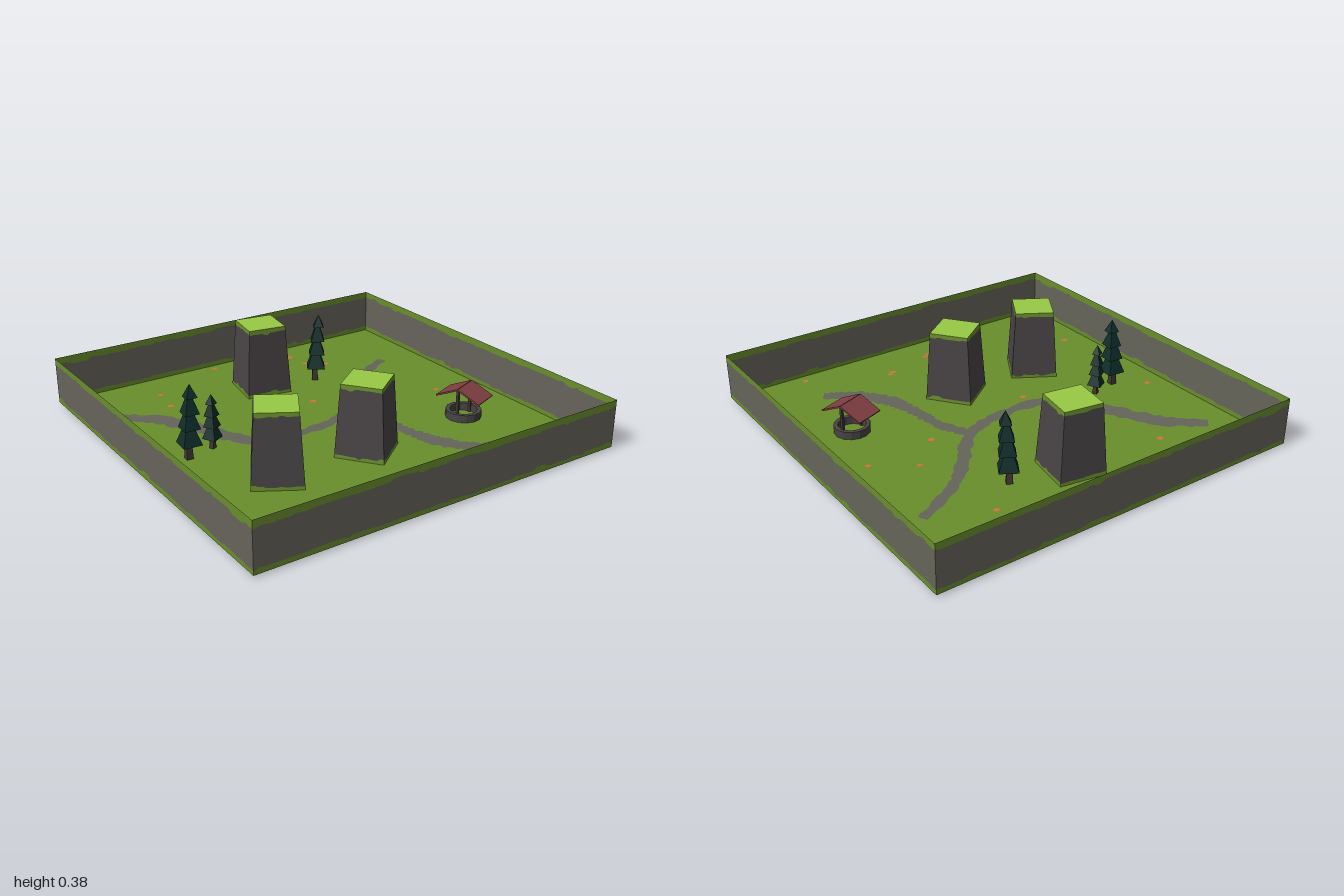
import * as THREE from 'three';

const mat = (name, color, side = THREE.DoubleSide) => {
  const m = new THREE.MeshStandardMaterial({ color, side });
  m.name = name;
  return m;
};

// Small seeded noise for ragged edges
let seed = 7;
const rnd = () => (seed = (seed * 16807) % 2147483647) / 2147483647;
const range = (a, b) => a + (b - a) * rnd();

const FLOOR = 0.01;

export function createModel() {
  const M = {
    grass: mat('grass green', 0x698e2c),
    stone: mat('path and wall grey', 0x66645a),
    rock: mat('dark rock grey', 0x494446),
    lime: mat('lime grass', 0x98ca45),
    leaf: mat('pine green', 0x0f2d28),
    trunk: mat('trunk brown', 0x40382f),
    roof: mat('roof red', 0x803e42),
    flower: mat('flower orange', 0xd3703c),
  };
  const model = new THREE.Group();

  const add = (parent, name, geo, material) => {
    const flat = geo.index ? geo.toNonIndexed() : geo;
    flat.computeVertexNormals();
    const mesh = new THREE.Mesh(flat, material);
    mesh.name = name;
    parent.add(mesh);
    return mesh;
  };
  const group = (name, x = 0, y = 0, z = 0, turn = 0) => {
    const g = new THREE.Group();
    g.name = name;
    g.position.set(x, y, z);
    g.rotation.y = turn;
    model.add(g);
    return g;
  };
  const fromTriangles = (pos) => new THREE.BufferGeometry()
    .setAttribute('position', new THREE.Float32BufferAttribute(pos, 3));

  // Upright sheet between four corners, in three bands with ragged borders
  const bandedSheet = (parent, name, [bl, br, tl, tr], n, low, high, middle) => {
    const raggedRow = ([a, b]) => {
      const row = [];
      let v = range(a, b);
      for (let i = 0; i <= n; i++) {
        if (rnd() < 0.55) v = rnd() < 0.25 ? range(a, b) : a + (b - a) * range(0.25, 0.6);
        row.push(v);
      }
      return row;
    };
    const rows = [Array(n + 1).fill(0), raggedRow(low), raggedRow(high), Array(n + 1).fill(1)];
    const at = (i, v) => {
      const u = i / n;
      const p = bl.clone().lerp(br, u).lerp(tl.clone().lerp(tr, u), v);
      return [p.x, p.y, p.z];
    };
    [['LowerGrass', M.grass], ['Face', middle], ['UpperGrass', M.grass]].forEach(([part, m], k) => {
      const pos = [];
      for (let i = 0; i < n; i++) {
        const a = at(i, rows[k][i]), b = at(i + 1, rows[k][i + 1]);
        const c = at(i + 1, rows[k + 1][i + 1]), d = at(i, rows[k + 1][i]);
        pos.push(...a, ...b, ...c, ...a, ...c, ...d);
      }
      add(parent, name + part, fromTriangles(pos), m);
    });
  };

  // Four sheets around a square, from a bottom size to a top size
  const squareSides = (parent, name, s0, s1, y0, y1, n, low, high, middle) => {
    for (let k = 0; k < 4; k++) {
      const corner = (x, y, s) => new THREE.Vector3(x * s / 2, y, s / 2)
        .applyAxisAngle(new THREE.Vector3(0, 1, 0), k * Math.PI / 2);
      bandedSheet(parent, name, [corner(-1, y0, s0), corner(1, y0, s0),
        corner(-1, y1, s1), corner(1, y1, s1)], n, low, high, middle);
    }
  };

  // Floor and surrounding walls
  const ground = group('ground');
  add(ground, 'floor', new THREE.PlaneGeometry(2, 2).rotateX(-Math.PI / 2), M.grass).position.y = FLOOR;
  squareSides(ground, 'wall', 2, 2, FLOOR, 0.256, 80, [0.05, 0.15], [0.9, 0.8], M.stone);

  // Floor markings, seen from above and from beneath
  const marking = (name, geo, material) => {
    add(ground, name, geo, material).position.y = FLOOR + 0.003;
    add(ground, name + 'Underside', geo.clone(), material).position.y = FLOOR - 0.003;
  };

  // Ragged paths
  const path = (name, points, widths) => {
    const curve = new THREE.CatmullRomCurve3(points.map(([x, z]) => new THREE.Vector3(x, 0, z)));
    const n = 70, pos = [];
    let prev;
    for (let i = 0; i <= n; i++) {
      const u = i / n, p = curve.getPointAt(u), t = curve.getTangentAt(u);
      const f = u * (widths.length - 1), j = Math.min(Math.floor(f), widths.length - 2);
      const w = widths[j] + (widths[j + 1] - widths[j]) * (f - j);
      const side = new THREE.Vector3(t.z, 0, -t.x);
      const l = p.clone().addScaledVector(side, w * range(0.75, 1.3)).toArray();
      const r = p.clone().addScaledVector(side, -w * range(0.75, 1.3)).toArray();
      if (prev) pos.push(...prev.r, ...r, ...l, ...prev.r, ...l, ...prev.l);
      prev = { l, r };
    }
    marking(name, fromTriangles(pos), M.stone);
  };
  path('mainPath', [[-0.84, -0.65], [-0.72, -0.55], [-0.6, -0.4], [-0.5, -0.2], [-0.41, -0.04],
    [-0.26, 0.025], [-0.08, 0.03], [0.13, -0.01], [0.24, -0.09], [0.35, -0.22], [0.47, -0.35],
    [0.6, -0.44], [0.77, -0.53]], [0.035, 0.05, 0.05, 0.04, 0.03, 0.03, 0.035, 0.03, 0.025]);
  path('branchPath', [[0.19, -0.04], [0.26, 0.1], [0.29, 0.28], [0.34, 0.47], [0.44, 0.62], [0.6, 0.73]],
    [0.035, 0.03, 0.035, 0.045, 0.045, 0.03]);

  // Scattered flowers
  const flowers = [[-0.1, -0.95], [-0.52, -0.78], [-0.54, -0.62], [0.35, -0.86], [0.37, -0.73],
    [0.47, -0.66], [-0.19, -0.22], [0.11, -0.255], [0.55, -0.15], [0.75, -0.015], [-0.89, -0.145],
    [0.38, 0.02], [-0.25, 0.115], [-0.87, 0.54], [-0.71, 0.825], [-0.27, 0.81], [-0.12, 0.84],
    [-0.09, 0.825], [0.16, 0.76], [0.185, 0.745], [0.6, 0.94]];
  for (const [x, z] of flowers) {
    const geo = new THREE.CircleGeometry(range(0.014, 0.02), 7).rotateX(-Math.PI / 2);
    marking('flower', geo.scale(1, 1, 0.85).translate(x, 0, z), M.flower);
  }

  // Tapered rock pillars with grassy caps
  for (const [x, z, degrees] of [[-0.013, -0.575, 9], [-0.5, 0.37, 30.5], [0, 0.37, 53]]) {
    const g = group('rockPillar', x, 0, z, -degrees * Math.PI / 180);
    squareSides(g, 'pillar', 0.245, 0.202, FLOOR, 0.38, 14, [0.02, 0.08], [0.97, 0.91], M.rock);
    add(g, 'pillarTop', new THREE.PlaneGeometry(0.202, 0.202).rotateX(-Math.PI / 2), M.lime).position.y = 0.38;
  }

  // Four-sided pines with stacked tiers
  const pine = (x, z, size, turn, lean) => {
    const g = group('pine', x, 0, z, turn);
    const cone = (name, top, bottom, y0, y1, m) => {
      const geo = new THREE.CylinderGeometry(top / Math.SQRT2, bottom / Math.SQRT2, y1 - y0, 4)
        .rotateY(Math.PI / 4).translate(0, (y0 + y1) / 2, 0).scale(size, size, size);
      const mesh = add(g, name, geo, m);
      mesh.position.x = lean * (y0 - 0.15);
    };
    cone('trunk', 0.022, 0.034, 0, 0.14, M.trunk);
    cone('lowerTier', 0.028, 0.096, 0.085, 0.19, M.leaf);
    cone('middleTier', 0.024, 0.082, 0.165, 0.262, M.leaf);
    cone('upperTier', 0.018, 0.072, 0.24, 0.33, M.leaf);
    cone('tip', 0.002, 0.055, 0.32, 0.384, M.leaf);
  };
  pine(0.3, -0.505, 1, -0.55, 0.06);
  pine(-0.73, -0.03, 1, -0.08, 0.06);
  pine(-0.592, -0.068, 0.75, 0.5, 0);

  // Well: stone ring, two posts and a gabled roof
  const well = group('well', 0.648, FLOOR, 0.325, 0.37);
  const ring = [[0.07, 0], [0.092, 0], [0.092, 0.04], [0.07, 0.04], [0.07, 0]]
    .map(([r, y]) => new THREE.Vector2(r, y));
  add(well, 'wellRing', new THREE.LatheGeometry(ring, 14), M.rock);
  for (const s of [-1, 1]) {
    add(well, 'wellPost', new THREE.BoxGeometry(0.014, 0.16, 0.014), M.trunk).position.set(s * 0.068, 0.08, 0);
    const slope = new THREE.BoxGeometry(0.156, 0.008, 0.132).translate(0, 0, s * 0.066);
    const roof = add(well, 'wellRoof', slope, M.roof);
    roof.position.y = 0.168;
    roof.rotation.x = s * 0.43;
  }
  return model;
}
